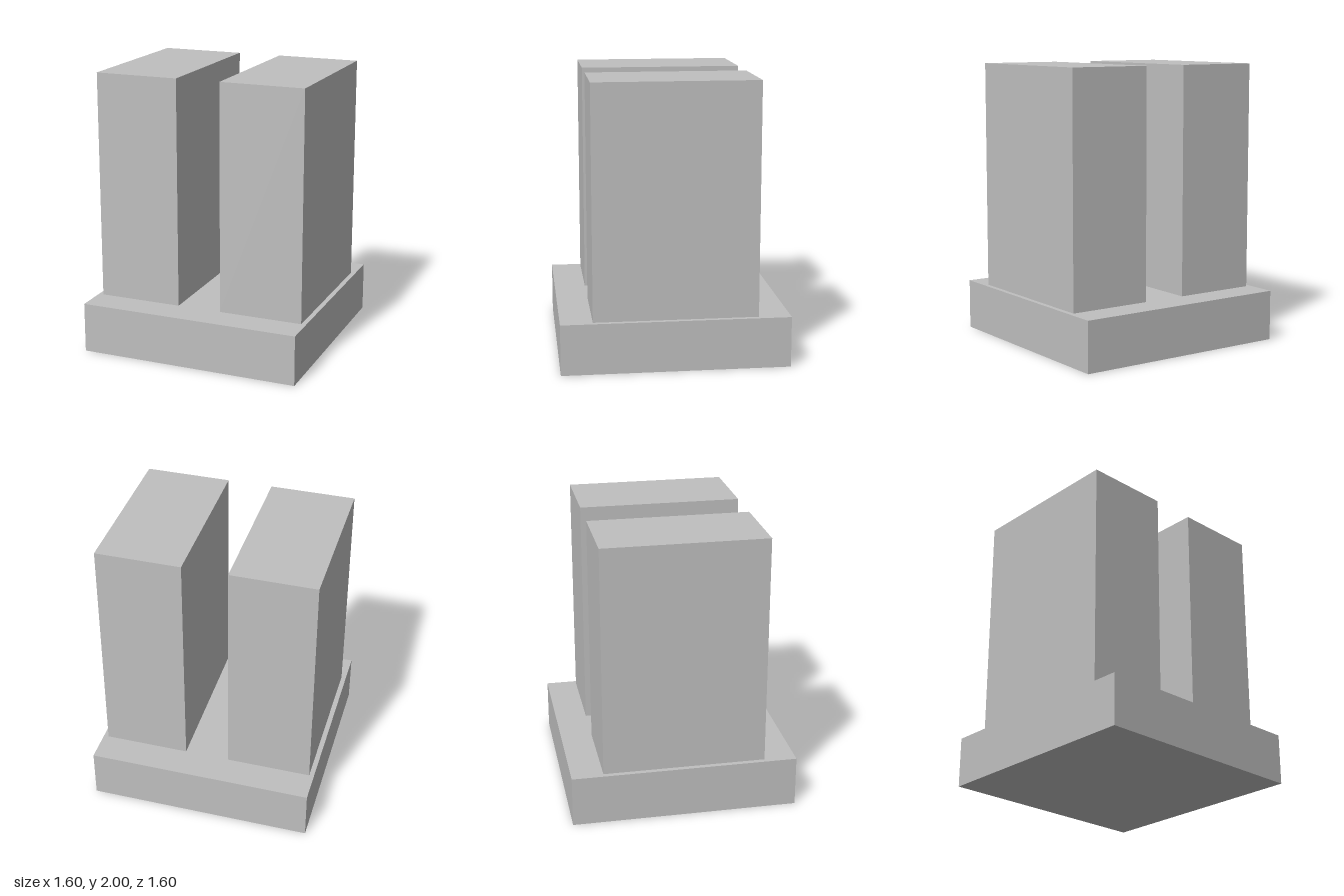
import * as THREE from 'three';

const BASE = { width: 1.6, height: 0.36, depth: 1.6 };
const TOWER = { width: 0.605, height: 1.64, depth: 1.15, offset: 0.4625 };

export function createModel() {
  const model = new THREE.Group();
  model.name = 'twinTowers';

  const grey = new THREE.MeshStandardMaterial({ color: 0xbfbfbf });
  grey.name = 'grey';

  // Box standing on the given height
  const addBlock = (name, { width, height, depth }, x, bottom) => {
    const mesh = new THREE.Mesh(new THREE.BoxGeometry(width, height, depth), grey);
    mesh.name = name;
    mesh.position.set(x, bottom + height / 2, 0);
    model.add(mesh);
  };

  // Square plinth
  addBlock('base', BASE, 0, 0);

  // Mirrored pair of towers on the plinth
  addBlock('leftTower', TOWER, TOWER.offset, BASE.height);
  addBlock('rightTower', TOWER, -TOWER.offset, BASE.height);

  return model;
}
